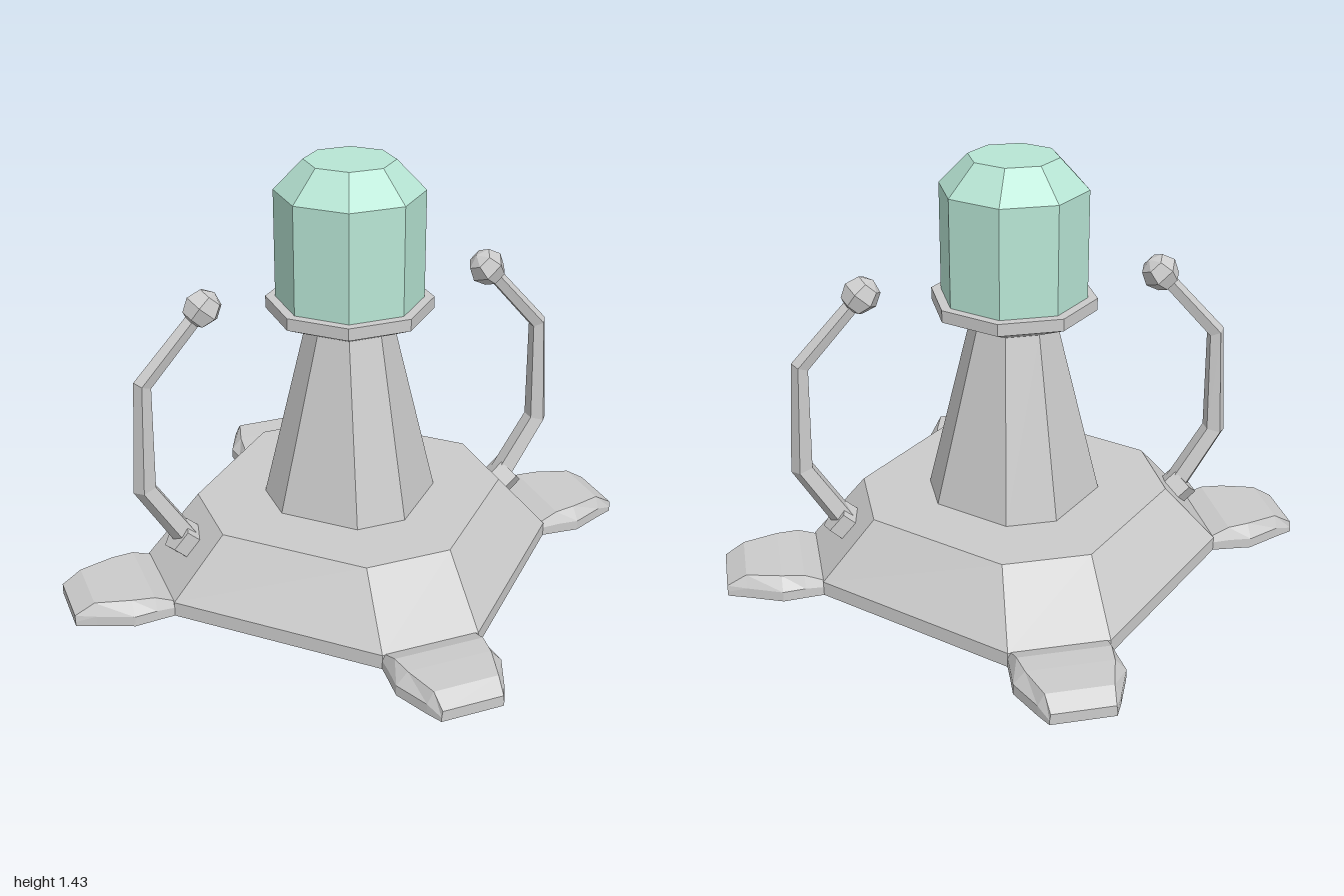
import * as THREE from 'three';

const grey = new THREE.MeshStandardMaterial({ color: 0xcccccc, flatShading: true, side: THREE.DoubleSide });
const mint = new THREE.MeshStandardMaterial({ color: 0xb8e6d5, flatShading: true, side: THREE.DoubleSide });

// Skin a list of cross-sections; optionally close the loop and cap the last one
function loft(rings, { closed = true, cap = false } = {}) {
  const pos = [];
  const tri = (...pts) => pts.forEach((p) => pos.push(...p));
  const n = rings[0].length;
  for (let k = 0; k + 1 < rings.length; k++) {
    for (let i = 0; i < (closed ? n : n - 1); i++) {
      const j = (i + 1) % n;
      const a = rings[k][i], b = rings[k][j], c = rings[k + 1][j], d = rings[k + 1][i];
      tri(a, b, c);
      tri(a, c, d);
    }
  }
  if (cap) {
    const last = rings[rings.length - 1];
    for (let i = 1; i + 1 < n; i++) tri(last[0], last[i], last[i + 1]);
  }
  const geo = new THREE.BufferGeometry();
  geo.setAttribute('position', new THREE.Float32BufferAttribute(pos, 3));
  geo.computeVertexNormals();
  return geo;
}

// Eight-sided ring: flats at distance a, each flat 2*b wide (regular by default)
function octagon(y, a, b = a * Math.tan(Math.PI / 8)) {
  return [[-b, a], [b, a], [a, b], [a, -b], [b, -a], [-b, -a], [-a, -b], [-a, b]]
    .map(([x, z]) => [x, y, z]);
}

function part(name, geo, material = grey) {
  const mesh = new THREE.Mesh(geo, material);
  mesh.name = name;
  return mesh;
}

// Foot: open-bottomed shell running outward along +z
function footGeometry(reach) {
  // distance, half width, shoulder height, top half width, top height
  const sections = [
    [0.68, 0.165, 0.03, 0.155, 0.05],
    [0.745, 0.17, 0.035, 0.15, 0.075],
    [0.82, 0.177, 0.035, 0.14, 0.077],
    [0.935, 0.128, 0.035, 0.107, 0.075],
    [reach, 0.103, 0.015, 0.1, 0.037],
  ];
  const rings = sections.map(([z, w, s, t, h]) =>
    [[w, 0, z], [w, s, z], [t, h, z], [-t, h, z], [-w, s, z], [-w, 0, z]]);
  return loft(rings, { closed: false, cap: true });
}

// Arm: tapering five-sided bar bent along a path in the x-y plane
function armGeometry() {
  const path = [[0.57, 0.16], [0.72, 0.4], [0.706, 0.77], [0.51, 0.99]];
  const radii = [0.042, 0.04, 0.031, 0.026];
  const pts = path.map((p) => new THREE.Vector2(...p));
  const rings = pts.map((p, k) => {
    const before = pts[Math.max(k - 1, 0)], after = pts[Math.min(k + 1, 3)];
    const t = new THREE.Vector2();
    if (k > 0) t.add(p.clone().sub(before).normalize());
    if (k < 3) t.add(after.clone().sub(p).normalize());
    t.normalize();
    return Array.from({ length: 5 }, (_, i) => {
      const f = Math.PI / 2 + (i * Math.PI * 2) / 5;
      const u = Math.cos(f) * radii[k], v = Math.sin(f) * radii[k];
      return [p.x + v * t.y, p.y - v * t.x, u];
    });
  });
  return loft(rings, { cap: true });
}

function createArm(name) {
  const arm = new THREE.Group();
  arm.name = name;
  arm.add(part('armBar', armGeometry()));

  // socket set square to the sloping base
  const socket = part('armSocket', new THREE.CylinderGeometry(0.062, 0.062, 0.085, 5));
  socket.position.set(0.59, 0.175, 0);
  socket.rotation.z = -Math.atan2(0.205, 0.185);
  arm.add(socket);

  // faceted ball aligned with the end of the bar
  const ball = part('armBall', new THREE.SphereGeometry(0.064, 6, 4));
  ball.position.set(0.5, 1.0, 0);
  ball.rotation.z = Math.atan2(0.196, 0.22);
  arm.add(ball);
  return arm;
}

export function createModel() {
  const model = new THREE.Group();
  model.name = 'beaconTower';

  // hollow base with skirt, slope and a deck open under the column
  model.add(part('base', loft([
    octagon(0, 0.685, 0.165),
    octagon(0.05, 0.685, 0.165),
    octagon(0.257, 0.505, 0.145),
    octagon(0.257, 0.28, 0.085),
  ])));

  // tapering column
  model.add(part('column', loft([octagon(0.257, 0.28, 0.085), octagon(0.87, 0.135)])));

  // flared collar under the dome
  model.add(part('collar', loft([
    octagon(0.868, 0.135),
    octagon(0.927, 0.256),
    octagon(0.968, 0.256),
  ], { cap: true })));

  // chamfered dome
  model.add(part('dome', loft([
    octagon(0.968, 0.226),
    octagon(1.33, 0.226),
    octagon(1.43, 0.137),
  ], { cap: true }), mint));

  // four feet
  ['frontFoot', 'leftFoot', 'backFoot', 'rightFoot'].forEach((name, i) => {
    const foot = part(name, footGeometry(i % 2 ? 1 : 0.985));
    foot.rotation.y = (i * Math.PI) / 2;
    model.add(foot);
  });

  // pair of bent arms
  const rightArm = createArm('rightArm');
  rightArm.rotation.y = Math.PI;
  model.add(createArm('leftArm'), rightArm);

  return model;
}
